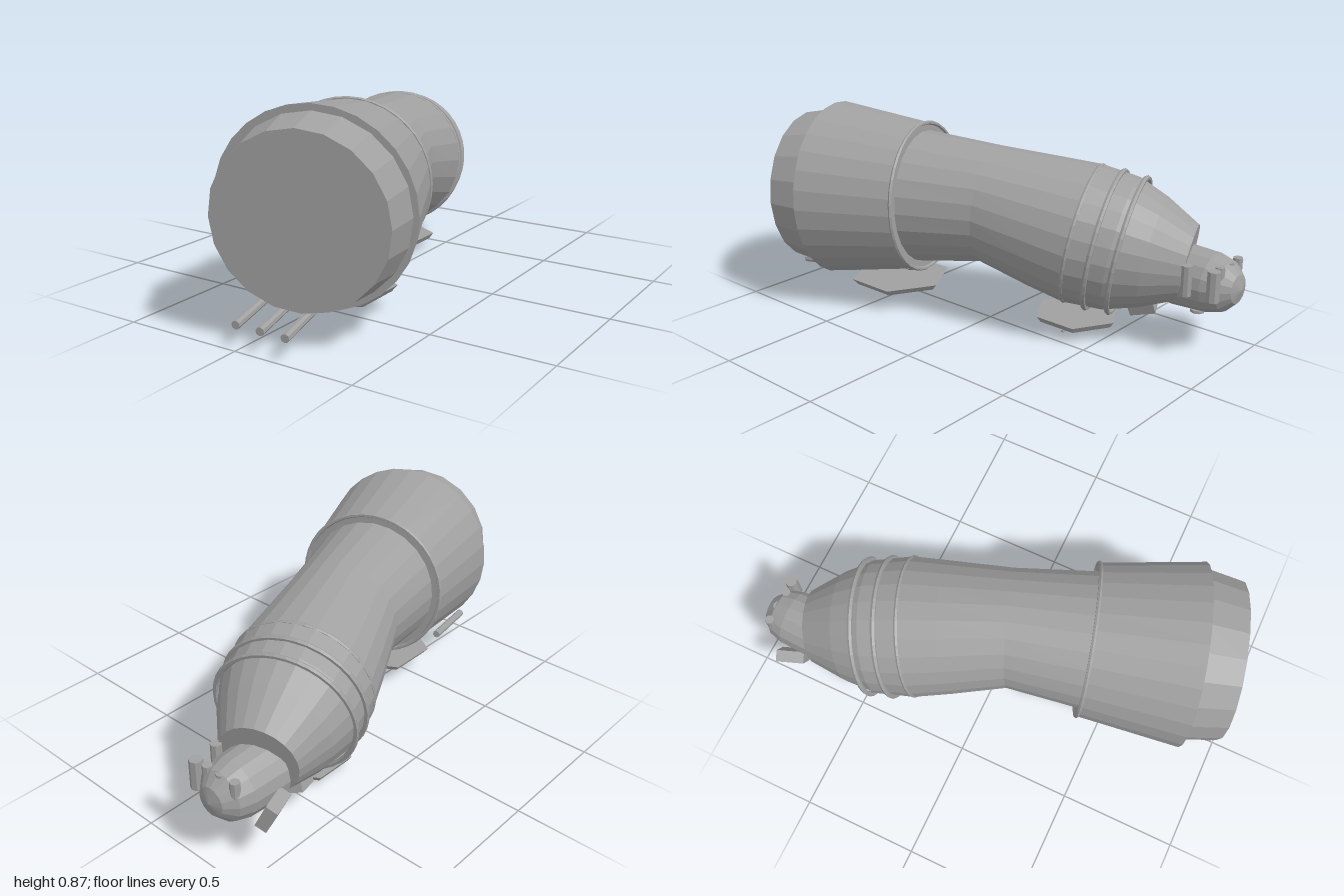
import * as THREE from 'three';

const grey = new THREE.MeshStandardMaterial({ color: 0xa0a0a0, flatShading: true });
grey.name = 'hull grey';
const UP = new THREE.Vector3(0, 1, 0);
const FRONT = new THREE.Vector3(0.29, -0.05, 0.957).normalize(); // axis of the wide front half
const REAR = new THREE.Vector3(0.36, 0.18, 0.92).normalize();    // axis of the bent rear half
const BEND = FRONT.clone().add(REAR).normalize();

export function createModel() {
  const model = new THREE.Group();

  function add(name, geometry, x = 0, y = 0, z = 0) {
    const mesh = new THREE.Mesh(geometry, grey);
    mesh.name = name;
    mesh.position.set(x, y, z);
    model.add(mesh);
    return mesh;
  }

  // Skin over circular sections [x, y, z, radius, axis], listed front to back, closed at both ends
  function loft(name, sections, sides) {
    const pos = [], index = [];
    for (const [x, y, z, r, axis] of sections) {
      const side = new THREE.Vector3().crossVectors(UP, axis).normalize();
      const top = new THREE.Vector3().crossVectors(axis, side);
      for (let i = 0; i < sides; i++) {
        const a = (i / sides) * Math.PI * 2;
        const p = new THREE.Vector3(x, y, z)
          .addScaledVector(side, r * Math.cos(a)).addScaledVector(top, r * Math.sin(a));
        pos.push(p.x, p.y, p.z);
      }
    }
    const last = (sections.length - 1) * sides;
    for (let i = 0; i < sides; i++) {
      const j = (i + 1) % sides;
      for (let b = 0; b < last; b += sides) {
        const c = b + sides;
        index.push(b + i, c + i, b + j, b + j, c + i, c + j);
      }
      if (i > 0 && i < sides - 1) index.push(0, i, j, last, last + j, last + i);
    }
    const g = new THREE.BufferGeometry();
    g.setAttribute('position', new THREE.Float32BufferAttribute(pos, 3));
    g.setIndex(index);
    g.computeVertexNormals();
    return add(name, g);
  }

  // Hoop around the hull
  function hoop(name, x, y, z, r, axis, tube) {
    const mesh = add(name, new THREE.TorusGeometry(r, tube, 6, 40), x, y, z);
    mesh.quaternion.setFromUnitVectors(new THREE.Vector3(0, 0, 1), axis);
  }

  // Rod between two points
  function rod(name, a, b, r) {
    const p = new THREE.Vector3(...a), q = new THREE.Vector3(...b);
    const mesh = add(name, new THREE.CylinderGeometry(r, r, p.distanceTo(q), 8));
    mesh.position.copy(p).add(q).multiplyScalar(0.5);
    mesh.quaternion.setFromUnitVectors(UP, q.sub(p).normalize());
  }

  // Front cap and wide shell
  loft('frontCap', [
    [0.21, 0.48, 0.895, 0.332, FRONT],
    [0.168, 0.485, 0.74, 0.36, FRONT],
  ], 20);
  loft('frontShell', [
    [0.165, 0.485, 0.745, 0.385, FRONT],
    [0.04, 0.495, 0.335, 0.32, FRONT],
  ], 28);
  hoop('shellHoop', 0.04, 0.495, 0.335, 0.32, FRONT, 0.009);

  // Bent hull, narrow at the waist and again at the tail
  loft('hull', [
    [0.05, 0.495, 0.37, 0.29, FRONT],
    [-0.05, 0.503, 0.03, 0.25, BEND],
    [-0.135, 0.452, -0.2, 0.28, REAR],
    [-0.19, 0.42, -0.35, 0.297, REAR],
    [-0.25, 0.394, -0.5, 0.283, REAR],
    [-0.297, 0.372, -0.62, 0.235, REAR],
    [-0.35, 0.347, -0.755, 0.16, REAR],
  ], 24);
  hoop('rearHoop', -0.26, 0.39, -0.525, 0.287, REAR, 0.011);
  hoop('rearHoop', -0.225, 0.403, -0.435, 0.294, REAR, 0.011);
  hoop('rearHoop', -0.19, 0.42, -0.35, 0.292, REAR, 0.009);

  // Round-ended tail pod
  const podProfile = [[0, 0.122], [0.06, 0.106], [0.104, 0.062], [0.122, 0], [0.13, -0.16], [0, -0.16]];
  const pod = add('tailPod', new THREE.LatheGeometry(
    podProfile.map(([r, h]) => new THREE.Vector2(r, h)).reverse(), 16), -0.345, 0.295, -0.878);
  pod.rotation.x = -Math.PI / 2;

  // Small fittings on the pod
  rod('podPost', [-0.225, 0.27, -0.94], [-0.225, 0.395, -0.94], 0.027);
  rod('podPost', [-0.21, 0.27, -0.83], [-0.21, 0.395, -0.83], 0.022);
  for (const x of [-0.42, -0.35, -0.28])
    rod('podStud', [x, 0.33, -0.935], [x, 0.395, -0.935], 0.02);
  add('podFoot', new THREE.CylinderGeometry(0.03, 0.03, 0.012, 8), -0.35, 0.155, -0.81);

  // Blocks on the flank and belly
  const sideBlock = add('sideBlock', new THREE.BoxGeometry(0.05, 0.11, 0.12), -0.485, 0.235, -0.82);
  sideBlock.rotation.set(0, 0.35, 0.45);
  const bellyBlock = add('bellyBlock', new THREE.BoxGeometry(0.11, 0.06, 0.11), -0.335, 0.13, -0.56);
  bellyBlock.rotation.set(0.25, 0.35, -0.4);

  // Stepped hexagonal landing pads under the hull
  function pad(name, x, y, z, r) {
    add(name + 'Plate', new THREE.CylinderGeometry(r, r * 0.9, 0.026, 6), x, y, z);
    add(name + 'Step', new THREE.CylinderGeometry(r * 0.42, r * 0.3, 0.016, 6), x, y - 0.026, z);
    add(name + 'Neck', new THREE.CylinderGeometry(r * 0.2, r * 0.2, 0.014, 6), x, y - 0.018, z);
    for (const s of [-1, 1])
      add(name + 'Bar', new THREE.BoxGeometry(0.012, 0.006, r * 0.5), x + s * 0.03, y - 0.045, z);
    add(name + 'Bar', new THREE.BoxGeometry(0.06, 0.006, 0.014), x, y - 0.045, z);
    for (const s of [-1, 1])
      add(name + 'Stud', new THREE.CylinderGeometry(0.009, 0.009, 0.008, 8), x + s * 0.1, y - 0.044, z);
  }
  pad('frontPad', 0.08, 0.095, 0.47, 0.222);
  pad('rearPad', -0.187, 0.052, -0.33, 0.187);
  add('frontPadMount', new THREE.CylinderGeometry(0.09, 0.06, 0.018, 6), 0.02, 0.142, 0.45);

  // Three rods reaching forward beneath the shell
  for (const x of [-0.01, 0.1, 0.21])
    rod('forwardRod', [x - 0.06, 0.115, 0.7], [x, 0.093, 0.98], 0.017);

  return model;
}
